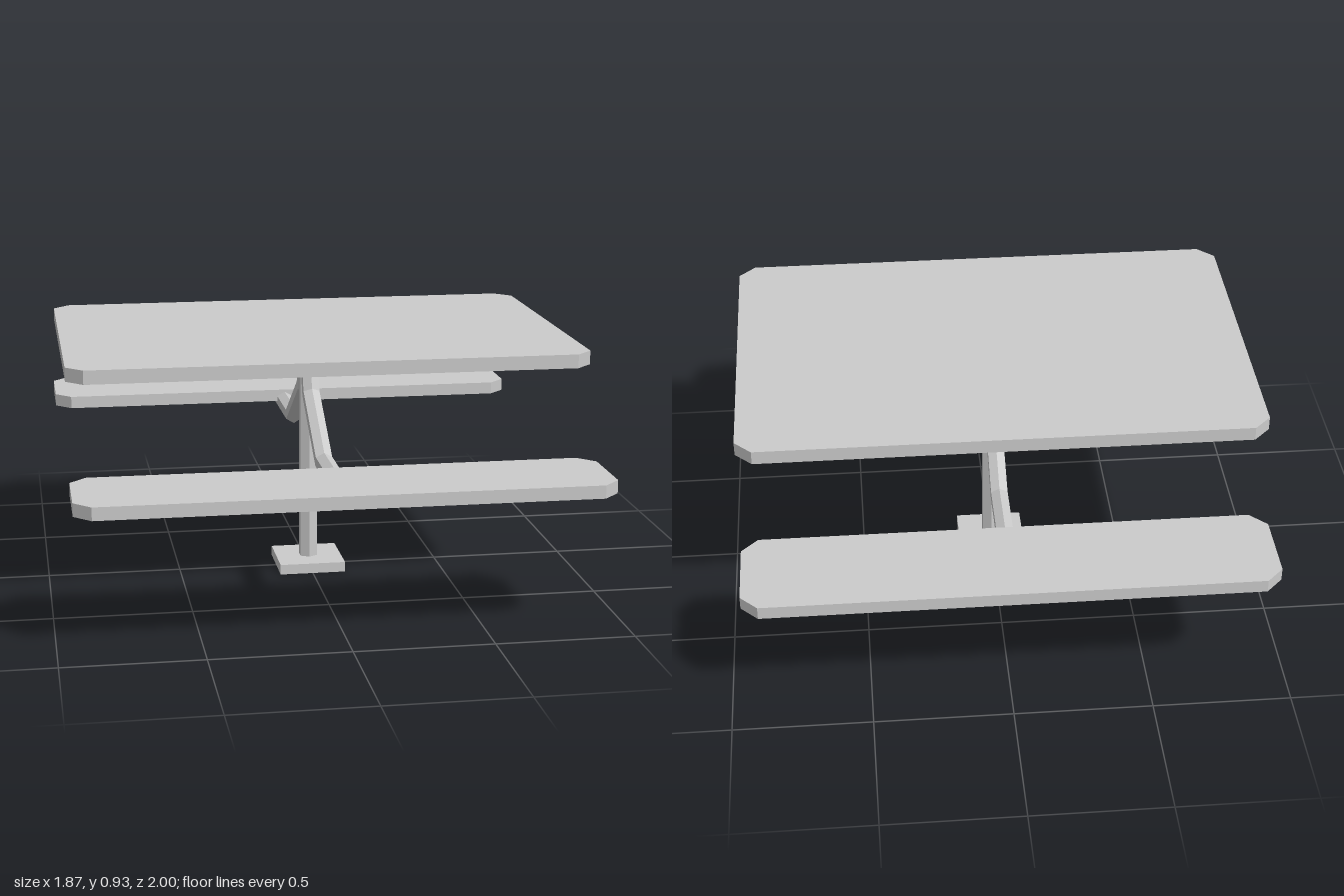
import * as THREE from 'three';

const material = new THREE.MeshStandardMaterial({ color: 0xcccccc, flatShading: true, side: THREE.DoubleSide });

function add(parent, name, geometry, x = 0, y = 0, z = 0) {
  const mesh = new THREE.Mesh(geometry, material);
  mesh.name = name;
  mesh.position.set(x, y, z);
  parent.add(mesh);
  return mesh;
}

// Flat board with clipped corners, its underside at y = 0
function board(halfX, halfZ, thickness, clip) {
  const shape = new THREE.Shape([
    [halfX, clip - halfZ], [halfX, halfZ - clip], [halfX - clip, halfZ], [clip - halfX, halfZ],
    [-halfX, halfZ - clip], [-halfX, clip - halfZ], [clip - halfX, -halfZ], [halfX - clip, -halfZ],
  ].map(([x, y]) => new THREE.Vector2(x, y)));
  return new THREE.ExtrudeGeometry(shape, { depth: thickness, bevelEnabled: false }).rotateX(-Math.PI / 2);
}

// Hexagonal tube with mitred bends along a path of [z, y] points in the x = 0 plane
function bentTube(path, radius) {
  const pts = path.map(([z, y]) => new THREE.Vector2(z, y));
  const normal = (a, b) => { const d = b.clone().sub(a).normalize(); return new THREE.Vector2(-d.y, d.x); };
  const positions = [], index = [];
  pts.forEach((p, i) => {
    const before = normal(pts[Math.max(i - 1, 0)], pts[Math.max(i, 1)]);
    const after = i < pts.length - 1 ? normal(p, pts[i + 1]) : before;
    const mitre = before.clone().add(after).normalize();
    mitre.divideScalar(mitre.dot(before));
    for (let k = 0; k < 6; k++) {
      const a = k * Math.PI / 3, c = radius * Math.cos(a);
      positions.push(radius * Math.sin(a), p.y + mitre.y * c, p.x + mitre.x * c);
      if (i > 0) {
        const n = (k + 1) % 6, r0 = (i - 1) * 6, r1 = i * 6;
        index.push(r0 + k, r1 + k, r1 + n, r0 + k, r1 + n, r0 + n);
      }
    }
  });
  const geometry = new THREE.BufferGeometry();
  geometry.setAttribute('position', new THREE.Float32BufferAttribute(positions, 3));
  geometry.setIndex(index);
  const flat = geometry.toNonIndexed();
  flat.computeVertexNormals();
  return flat;
}

export function createModel() {
  const table = new THREE.Group();
  table.name = 'picnicTable';

  add(table, 'tableTop', board(0.935, 0.623, 0.05, 0.06), 0, 0.88, 0);

  // Hexagonal post with a ridge to front and back, poking through the base
  add(table, 'post', new THREE.CylinderGeometry(0.037, 0.037, 0.75, 6), 0, 0.39, 0);

  // Hollow base plate, open underneath
  const half = 0.125, height = 0.038;
  const base = new THREE.Group();
  base.name = 'base';
  table.add(base);
  add(base, 'basePlate', new THREE.PlaneGeometry(2 * half, 2 * half).rotateX(-Math.PI / 2), 0, height, 0);
  for (let i = 0; i < 4; i++) {
    const wall = new THREE.PlaneGeometry(2 * half, height).translate(0, height / 2, half);
    add(base, 'baseRim', wall.rotateY(i * Math.PI / 2));
  }

  // Bench, rail and bent arm on each side
  for (const side of [1, -1]) {
    const bench = new THREE.Group();
    bench.name = side > 0 ? 'frontBench' : 'backBench';
    table.add(bench);
    add(bench, 'seat', board(0.935, 0.187, 0.047, 0.06), 0, 0.505, side * 0.813);
    const rail = new THREE.CylinderGeometry(0.037, 0.037, 1.68, 6).rotateZ(Math.PI / 2);
    add(bench, 'seatRail', rail, -0.02, 0.507, side * 0.813);
    const arm = bentTube([[-0.007, 0.9], [0.072, 0.695], [0.375, 0.508], [0.813, 0.508]], 0.035);
    if (side < 0) arm.rotateY(Math.PI);
    add(bench, 'arm', arm);
  }
  return table;
}
